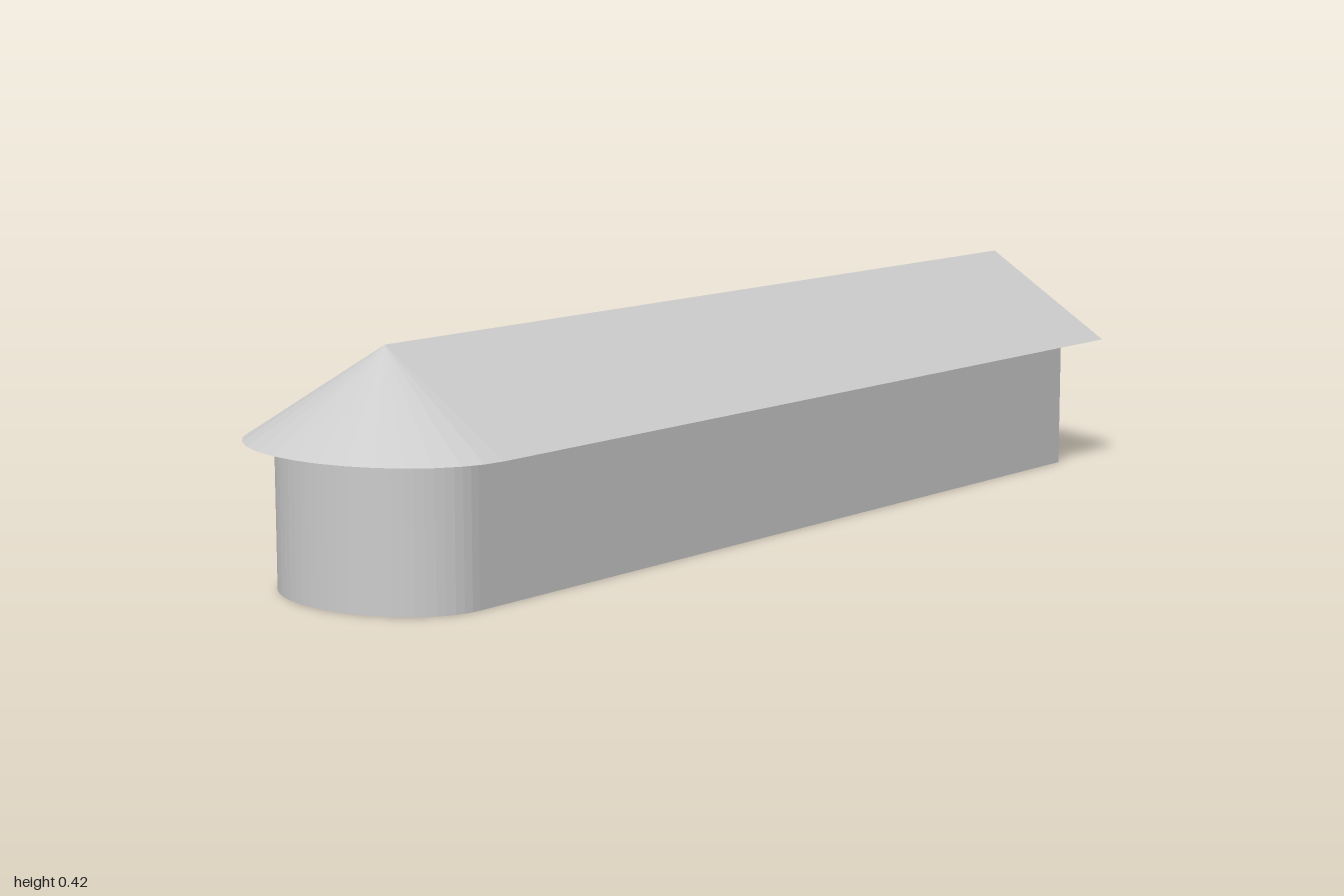
import * as THREE from 'three';

export function createModel() {
  const model = new THREE.Group();
  const grey = new THREE.MeshStandardMaterial({ color: 0xcccccc });
  grey.name = 'plain grey';
  grey.flatShading = true;
  grey.side = THREE.DoubleSide;

  const add = (name, geometry) => {
    const mesh = new THREE.Mesh(geometry, grey);
    mesh.name = name;
    model.add(mesh);
    return mesh;
  };

  const apseX = -0.79; // where the straight hall meets the rounded end
  const eaveY = 0.254, roofHeight = 0.164, roofHalf = 0.268, segments = 16;

  // Walls: long hall with one rounded end, extruded upwards
  const plan = new THREE.Shape();
  plan.moveTo(0.935, -0.21);
  plan.lineTo(0.935, 0.21);
  plan.lineTo(apseX, 0.21);
  plan.absellipse(apseX, 0, 0.16, 0.21, Math.PI / 2, Math.PI * 1.5, false);
  const walls = new THREE.ExtrudeGeometry(plan, { depth: eaveY, bevelEnabled: false, curveSegments: segments });
  walls.rotateX(-Math.PI / 2);
  add('walls', walls);

  // Gable roof: a thin sheet folded along the ridge, open at the square end
  const length = 1 - apseX;
  const slopes = new THREE.PlaneGeometry(length, roofHalf * 2, 1, 2);
  slopes.rotateX(-Math.PI / 2);
  const p = slopes.attributes.position;
  for (let i = 0; i < p.count; i++) p.setY(i, roofHeight * (1 - Math.abs(p.getZ(i)) / roofHalf));
  slopes.computeVertexNormals();
  add('gableRoof', slopes).position.set(apseX + length / 2, eaveY, 0);

  // Half cone roof over the rounded end
  const cone = new THREE.ConeGeometry(1, roofHeight, segments, 1, true, Math.PI, Math.PI);
  cone.scale(1 + apseX, 1, roofHalf);
  add('roundedRoof', cone).position.set(apseX, eaveY + roofHeight / 2, 0);

  return model;
}
